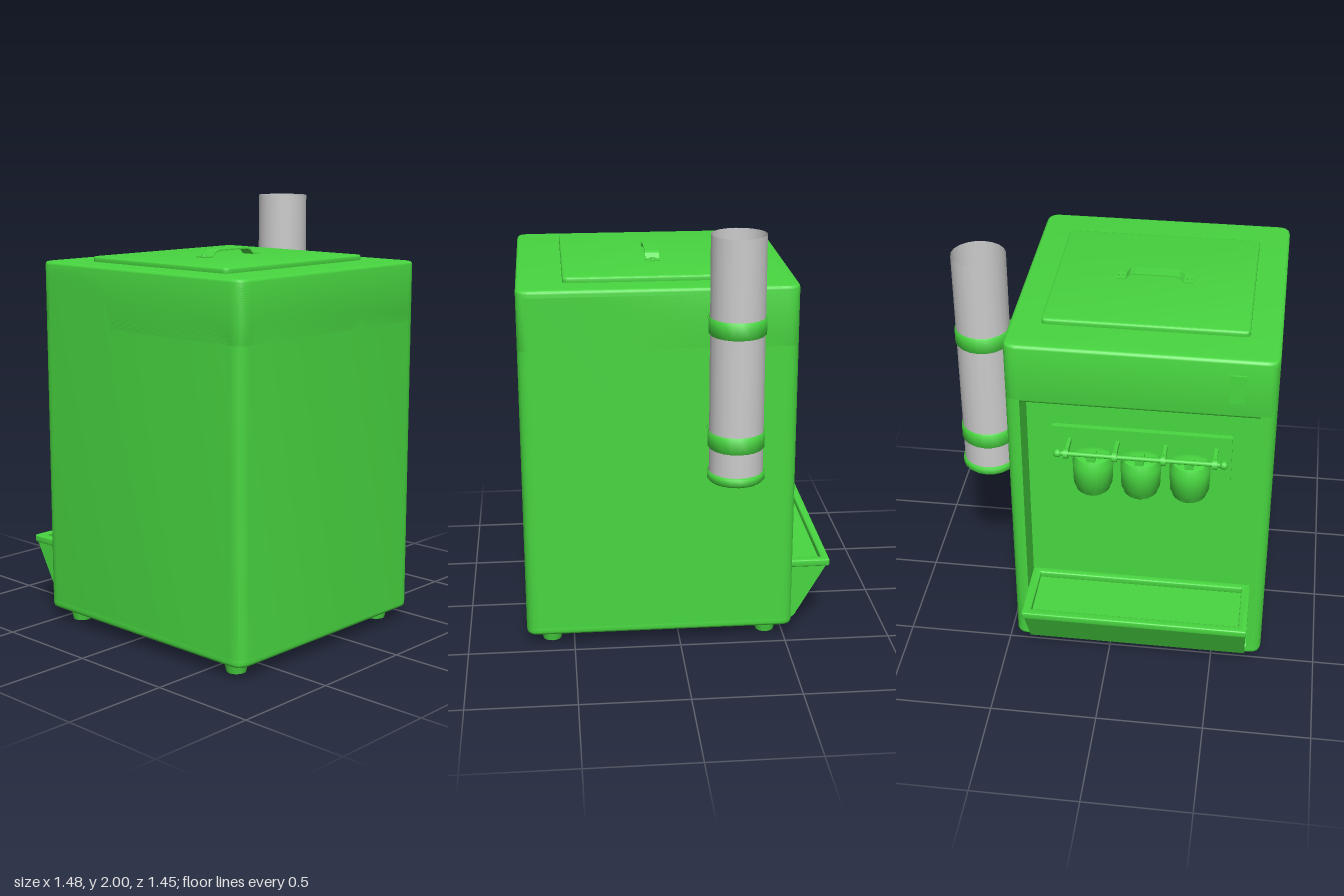
import * as THREE from 'three';
import { toCreasedNormals } from 'three/addons/utils/BufferGeometryUtils.js';

const green = new THREE.MeshStandardMaterial({ color: 0x48d640 });
const grey = new THREE.MeshStandardMaterial({ color: 0xcccccc, side: THREE.DoubleSide });

// Outer plan of the cabinet, and the niche cut in its back
const X0 = -0.74, X1 = 0.46, Z0 = -0.54, Z1 = 0.725, MID = -0.14;
const NICHE = { x0: -0.67, x1: 0.39, z: -0.39, top: 1.44 };

function add(parent, name, geometry, x = 0, y = 0, z = 0, material = green) {
  const mesh = new THREE.Mesh(geometry, material);
  mesh.name = name;
  mesh.position.set(x, y, z);
  parent.add(mesh);
  return mesh;
}

const box = (w, h, d) => new THREE.BoxGeometry(w, h, d);
const cylX = (r, len, n = 16) => new THREE.CylinderGeometry(r, r, len, n).rotateZ(Math.PI / 2);

// Rounded rectangle in plan; shape y is -z
function plan(x0, x1, z0, z1, r, Type = THREE.Shape) {
  const s = new Type(), a = -z1, b = -z0;
  s.moveTo(x0 + r, a);
  s.lineTo(x1 - r, a).quadraticCurveTo(x1, a, x1, a + r);
  s.lineTo(x1, b - r).quadraticCurveTo(x1, b, x1 - r, b);
  s.lineTo(x0 + r, b).quadraticCurveTo(x0, b, x0, b - r);
  s.lineTo(x0, a + r).quadraticCurveTo(x0, a, x0 + r, a);
  return s;
}

// Upright extrusion of a plan between two heights, with softened rims
function slab(shape, y0, y1, bevel = 0) {
  const geo = new THREE.ExtrudeGeometry(shape, {
    depth: y1 - y0 - 2 * bevel, curveSegments: 4, bevelEnabled: bevel > 0,
    bevelThickness: bevel, bevelSize: bevel, bevelOffset: -bevel, bevelSegments: 3,
  });
  geo.rotateX(-Math.PI / 2).translate(0, y0 + bevel, 0);
  return toCreasedNormals(geo, 0.65);
}

// Ring of rounded section around the y axis
function band(inner, outer, h) {
  const b = 0.012;
  const pts = [[inner, -h / 2], [outer - b, -h / 2], [outer, -h / 2 + b],
    [outer, h / 2 - b], [outer - b, h / 2], [inner, h / 2], [inner, -h / 2]];
  return toCreasedNormals(new THREE.LatheGeometry(pts.map(p => new THREE.Vector2(...p)), 20), 0.9);
}

function cabinet() {
  const g = new THREE.Group();
  g.name = 'cabinet';
  const r = 0.06;
  add(g, 'cabinetTop', slab(plan(X0, X1, Z0, Z1, r), NICHE.top, 1.73, 0.015));
  add(g, 'cabinetBase', slab(plan(X0, X1, Z0, Z1, r), 0.06, 0.11, 0.015));
  // Walls wrapped around the niche
  const s = new THREE.Shape(), a = -Z1, b = -Z0, n = -NICHE.z;
  s.moveTo(X0 + r, a);
  s.lineTo(X1 - r, a).quadraticCurveTo(X1, a, X1, a + r);
  s.lineTo(X1, b - r).quadraticCurveTo(X1, b, X1 - r, b);
  s.lineTo(NICHE.x1, b).lineTo(NICHE.x1, n).lineTo(NICHE.x0, n).lineTo(NICHE.x0, b);
  s.lineTo(X0 + r, b).quadraticCurveTo(X0, b, X0, b - r);
  s.lineTo(X0, a + r).quadraticCurveTo(X0, a, X0 + r, a);
  add(g, 'cabinetWalls', slab(s, 0.075, 1.7));
  // Feet
  for (const x of [-0.635, 0.355]) for (const z of [-0.42, 0.605])
    add(g, 'foot', new THREE.CylinderGeometry(0.06, 0.044, 0.07, 16), x, 0.035, z);
  // Small plate on the upper back
  add(g, 'backPlate', box(0.07, 0.14, 0.02), -0.565, 1.59, -0.54);
  return g;
}

function lid() {
  const g = new THREE.Group();
  g.name = 'lid';
  add(g, 'lidPanel', slab(plan(-0.6, 0.32, -0.34, 0.515, 0.025), 1.72, 1.755, 0.01));
  // Strap handle with screwed ends
  const half = [[0.18, 0], [0.135, 0], [0.115, 0.022], [0.09, 0.028]];
  const t = 0.006;
  const line = [...half.map(([x, y]) => [-x, y]), ...half.slice().reverse()];
  const pts = [...line, ...line.slice().reverse().map(([x, y]) => [x, y + t])];
  const strap = new THREE.ExtrudeGeometry(
    new THREE.Shape(pts.map(p => new THREE.Vector2(...p))), { depth: 0.065, bevelEnabled: false });
  add(g, 'lidHandle', strap, MID, 1.754, 0.056);
  for (const sx of [-1, 1])
    add(g, 'handleScrew', new THREE.CylinderGeometry(0.012, 0.014, 0.008, 12), MID + sx * 0.158, 1.763, 0.088);
  return g;
}

function dripTray() {
  const g = new THREE.Group();
  g.name = 'dripTray';
  const profile = [[0.38, 0.07], [0.545, 0.063], [0.56, 0.075], [0.71, 0.335], [0.38, 0.335]];
  const wedge = new THREE.ExtrudeGeometry(
    new THREE.Shape(profile.map(p => new THREE.Vector2(...p))), { depth: 1.05, bevelEnabled: false });
  add(g, 'trayBody', wedge.rotateY(Math.PI / 2), -0.665, 0, 0);
  const rim = plan(-0.67, 0.39, -0.725, -0.385, 0.008);
  rim.holes.push(plan(-0.63, 0.35, -0.687, -0.42, 0.005, THREE.Path));
  add(g, 'trayRim', slab(rim, 0.33, 0.365, 0.006));
  return g;
}

function dispenser() {
  const g = new THREE.Group();
  g.name = 'dispenser';
  const y = 1.17, z = -0.523;
  add(g, 'dispenserBoard', box(0.82, 0.255, 0.04), MID, 1.112, -0.395);
  // Rail with knobs, carried by four eyes on arms
  add(g, 'rail', cylX(0.011, 0.74), MID - 0.005, y, z);
  for (const x of [-0.52, 0.23]) add(g, 'railKnob', new THREE.SphereGeometry(0.02, 14, 10), x, y, z);
  for (const x of [-0.48, -0.25, -0.03, 0.19]) {
    add(g, 'railEye', cylX(0.023, 0.022), x, y, z);
    add(g, 'railArm', box(0.016, 0.024, 0.115), x, y, -0.46);
  }
  // Hanging cups between the eyes
  const cup = [[0, 0], [0.07, 0], [0.078, 0.008], [0.08, 0.03], [0.09, 0.04],
    [0.094, 0.15], [0.08, 0.185], [0.04, 0.2], [0, 0.202]].map(p => new THREE.Vector2(...p));
  const cupGeo = toCreasedNormals(new THREE.LatheGeometry(cup, 20), 0.8);
  for (const x of [-0.365, -0.14, 0.08]) {
    add(g, 'dispenserCup', cupGeo, x, 0.935, -0.445);
    add(g, 'cupHook', box(0.04, 0.05, 0.05), x, 1.135, -0.49);
  }
  return g;
}

function pipe() {
  const g = new THREE.Group();
  g.name = 'pipe';
  g.position.set(0.605, 0, -0.235);
  add(g, 'tube', new THREE.CylinderGeometry(0.122, 0.122, 1.1, 20, 1, true), 0, 1.45, 0, grey);
  add(g, 'endRing', band(0.108, 0.13, 0.05), 0, 0.91);
  // Two clamps bolted to the cabinet side
  for (const y of [1.08, 1.6]) {
    add(g, 'clampBand', band(0.118, 0.128, 0.09), 0, y);
    for (const s of [-1, 1]) {
      add(g, 'clampArm', box(0.055, 0.075, 0.012), -0.12, y, s * 0.06);
      add(g, 'clampTab', cylX(0.036, 0.014), -0.14, y, s * 0.08);
      add(g, 'clampBolt', cylX(0.014, 0.02, 10), -0.13, y, s * 0.088);
    }
  }
  return g;
}

export function createModel() {
  const model = new THREE.Group();
  model.name = 'drinkDispenser';
  model.add(cabinet(), lid(), dripTray(), dispenser(), pipe());
  return model;
}
